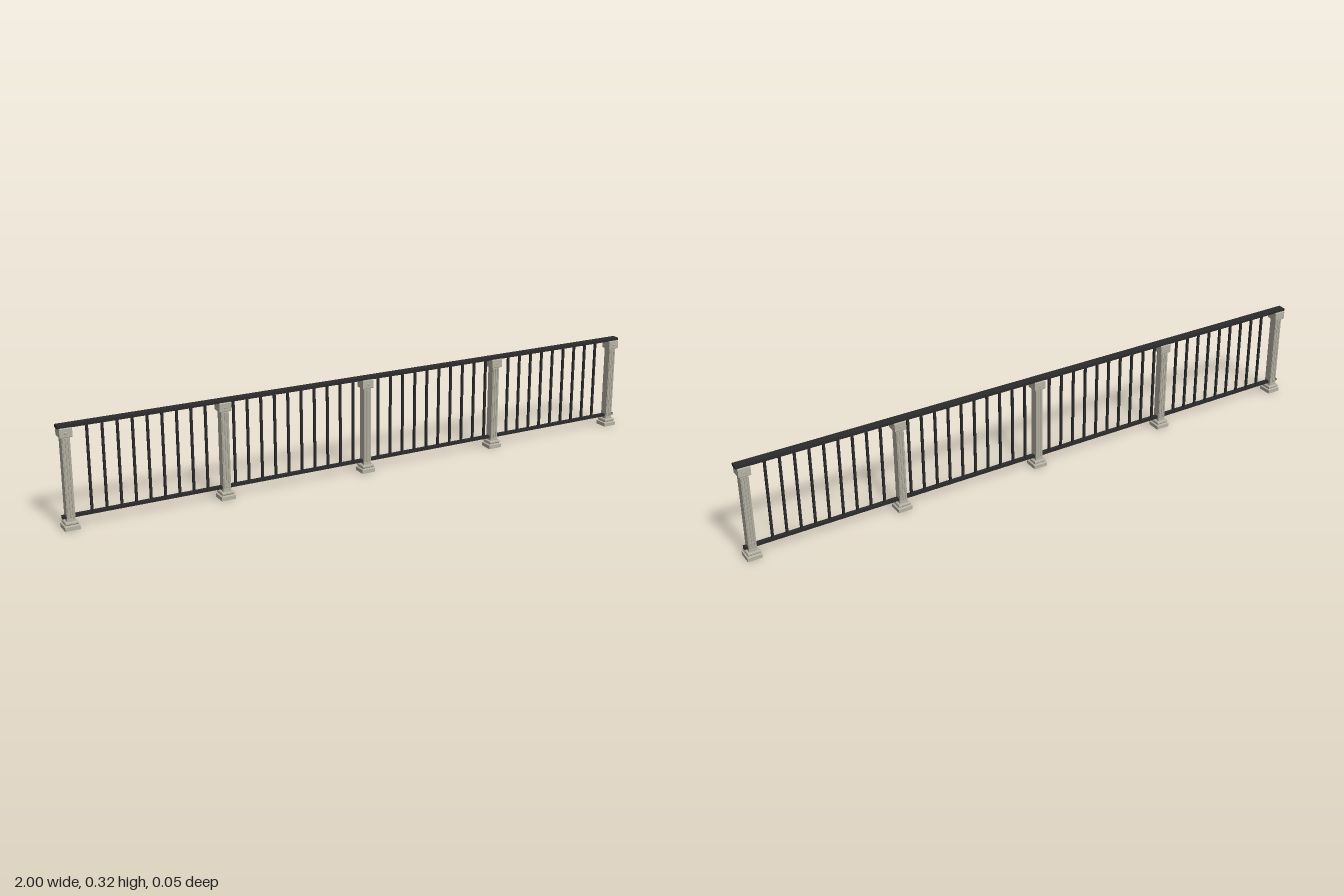
import * as THREE from 'three';

const stone = new THREE.MeshStandardMaterial({ color: 0xb5b1a3, flatShading: true });
const stoneSmooth = new THREE.MeshStandardMaterial({ color: 0xb5b1a3 });
const iron = new THREE.MeshStandardMaterial({ color: 0x2b2b2b });

function add(parent, name, geometry, material, x, y, z) {
  const mesh = new THREE.Mesh(geometry, material);
  mesh.name = name;
  mesh.position.set(x, y, z);
  parent.add(mesh);
  return mesh;
}

// Square moulding from a [half width, height] profile
function squareMoulding(profile) {
  const points = profile.map(([r, y]) => new THREE.Vector2(r * Math.SQRT2, y));
  return new THREE.LatheGeometry(points, 4, Math.PI / 4);
}

const baseGeometry = squareMoulding([
  [0, 0], [0.023, 0], [0.023, 0.012], [0.018, 0.014], [0.018, 0.016],
  [0.02, 0.018], [0.02, 0.022], [0.018, 0.025], [0, 0.025],
]);
const capGeometry = squareMoulding([
  [0, 0.28], [0.018, 0.28], [0.019, 0.282], [0.019, 0.306], [0.018, 0.308], [0, 0.308],
]);
const shaftGeometry = new THREE.BoxGeometry(0.025, 0.257, 0.026);
const reedGeometry = new THREE.CapsuleGeometry(0.003, 0.237, 4, 10);
const bossGeometry = new THREE.SphereGeometry(0.005, 12, 8).scale(1, 0.7, 0.4);
const balusterGeometry = new THREE.BoxGeometry(0.007, 0.27, 0.007);

// Stone post with reeded front and back
function createPost(x) {
  const post = new THREE.Group();
  post.name = 'post';
  post.position.x = x;
  add(post, 'base', baseGeometry, stone, 0, 0, 0);
  add(post, 'shaft', shaftGeometry, stone, 0, 0.1525, 0);
  add(post, 'cap', capGeometry, stone, 0, 0, 0);
  for (const side of [-1, 1]) {
    for (const offset of [-0.0078, 0, 0.0078]) {
      add(post, 'reed', reedGeometry, stoneSmooth, offset, 0.157, side * 0.0125);
    }
    add(post, 'capBoss', bossGeometry, stoneSmooth, 0, 0.294, side * 0.0187);
  }
  return post;
}

export function createModel() {
  const railing = new THREE.Group();
  railing.name = 'railing';

  // Five evenly spaced posts
  for (let i = -2; i <= 2; i++) railing.add(createPost(i * 0.4885));

  // Handrail and bottom rail
  add(railing, 'handrail', new THREE.BoxGeometry(2, 0.009, 0.027), iron, 0, 0.3115, 0);
  add(railing, 'bottomRail', new THREE.BoxGeometry(2, 0.009, 0.013), iron, 0, 0.0375, 0);

  // Balusters on an even pitch, left out where a post stands
  for (let i = -20; i <= 20; i++) {
    if (i % 11 === 0) continue;
    add(railing, 'baluster', balusterGeometry, iron, i * 0.0455, 0.174, 0);
  }
  return railing;
}
